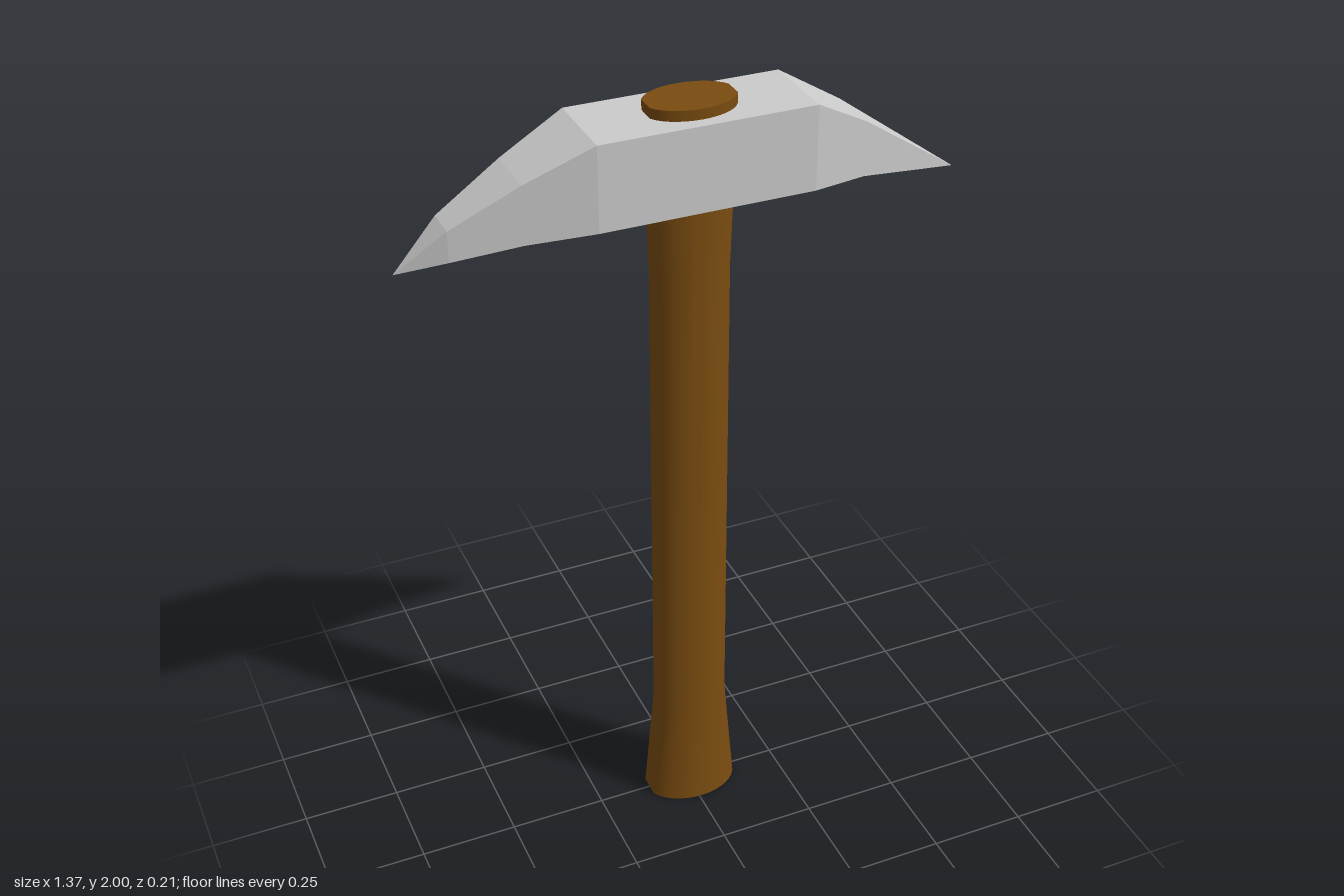
import * as THREE from 'three';
import { toCreasedNormals } from 'three/addons/utils/BufferGeometryUtils.js';

// Skin a list of rings (each counter-clockwise about the sweep direction) and cap both ends.
function loft(rings, crease) {
  const pos = [];
  const tri = (a, b, c) => {
    const area = new THREE.Triangle(a, b, c).getArea();
    if (area > 1e-8) for (const p of [a, b, c]) pos.push(p.x, p.y, p.z);
  };
  const n = rings[0].length;
  for (let i = 0; i < rings.length - 1; i++) {
    const r = rings[i], s = rings[i + 1];
    for (let j = 0; j < n; j++) {
      const k = (j + 1) % n;
      tri(r[j], r[k], s[k]);
      tri(r[j], s[k], s[j]);
    }
  }
  const first = rings[0], last = rings[rings.length - 1];
  for (let j = 1; j < n - 1; j++) {
    tri(first[0], first[j + 1], first[j]);
    tri(last[0], last[j], last[j + 1]);
  }
  const geometry = new THREE.BufferGeometry();
  geometry.setAttribute('position', new THREE.Float32BufferAttribute(pos, 3));
  return toCreasedNormals(geometry, crease);
}

// Oval with flattened left and right sides.
function handleRing([y, halfX, halfZ]) {
  const ring = [], steps = 14, clip = Math.PI / 9;
  for (const side of [0, Math.PI]) {
    for (let i = 0; i <= steps; i++) {
      const t = side - Math.PI / 2 + clip + (Math.PI - 2 * clip) * i / steps;
      ring.push(new THREE.Vector3(
        0.007 + halfX * Math.sin(t) / Math.cos(clip), y, halfZ * Math.cos(t)));
    }
  }
  return ring;
}

// Rectangular section of the head at a given x.
function headRing([x, top, bottom, halfZ]) {
  return [[top, -halfZ], [top, halfZ], [bottom, halfZ], [bottom, -halfZ]]
    .map(([y, z]) => new THREE.Vector3(x, y, z));
}

export function createModel() {
  const group = new THREE.Group();
  group.name = 'pickaxe';

  // Wooden handle: flared grip, straight shaft, slightly swollen eye
  const handleSections = [ // y, half width, half depth
    [0, 0.117, 0.088],
    [0.31, 0.092, 0.07],
    [1.58, 0.091, 0.069],
    [1.78, 0.098, 0.07],
    [2, 0.104, 0.073],
  ];
  const handle = new THREE.Mesh(
    loft(handleSections.map(handleRing), 0.7),
    new THREE.MeshStandardMaterial({ color: 0x7a4c10 }));
  handle.name = 'handle';
  group.add(handle);

  // Metal head: square middle block tapering and drooping to a point at each end
  const headSections = [ // x, top, bottom, half depth
    [-0.685, 1.71, 1.71, 0],
    [-0.57, 1.81, 1.735, 0.041],
    [-0.41, 1.9, 1.758, 0.073],
    [-0.25, 1.975, 1.768, 0.104],
    [0.27, 1.975, 1.768, 0.104],
    [0.41, 1.895, 1.76, 0.068],
    [0.682, 1.705, 1.705, 0],
  ];
  const head = new THREE.Mesh(
    loft(headSections.map(headRing), 0.01),
    new THREE.MeshStandardMaterial({ color: 0xcccccc, flatShading: true }));
  head.name = 'head';
  group.add(head);

  return group;
}
